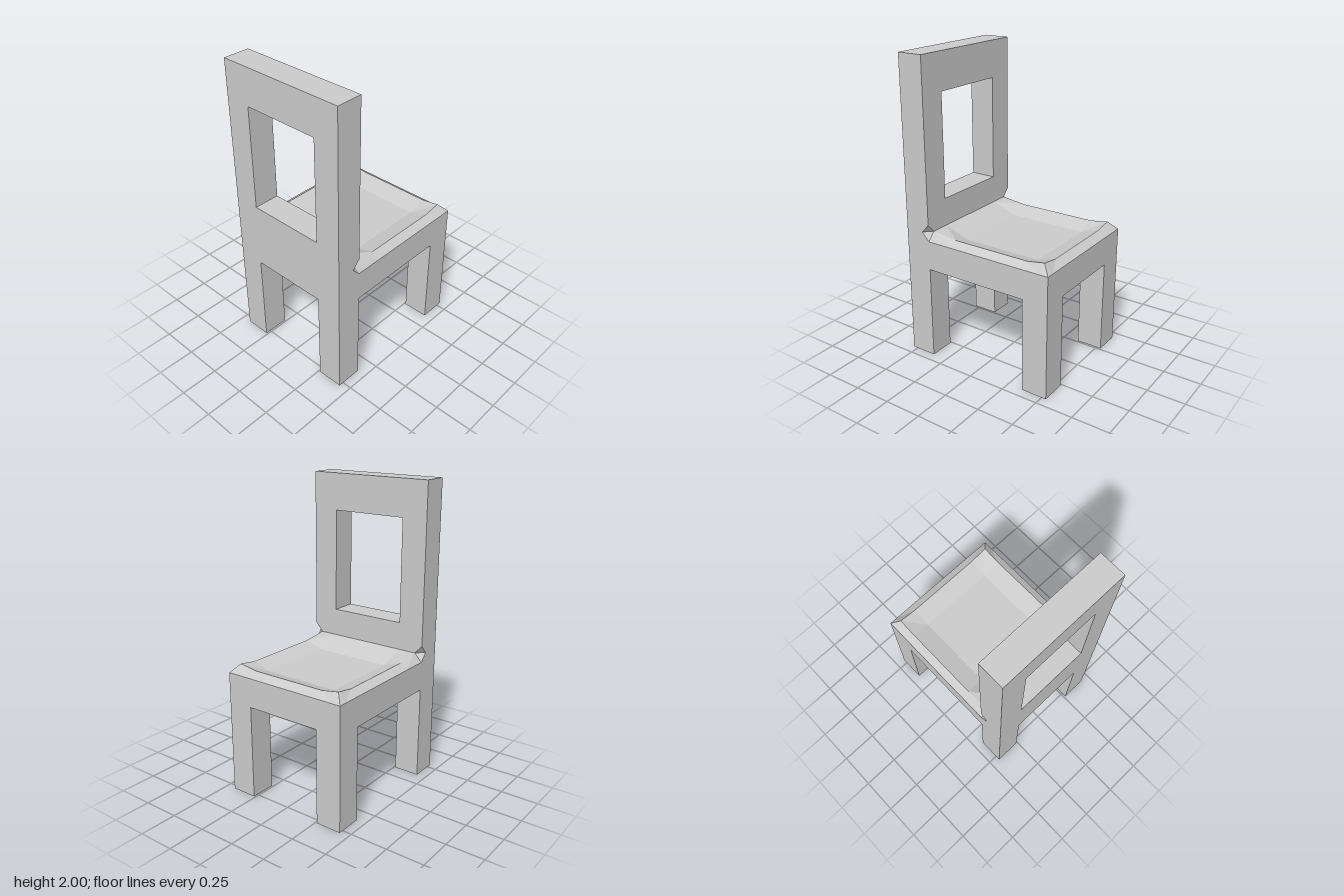
import * as THREE from 'three';

const material = new THREE.MeshStandardMaterial({ color: 0xcccccc, flatShading: true });
const BACK = -0.533, FRONT = 0.53, HALF = 0.436; // footprint
const POST = 0.175, WALL = 0.052;                // leg and apron thickness
const APRON = 0.63, CEILING = 0.75, RIM = 0.825, CREST = 0.88;
const BACK_FACE = BACK + POST;

const toShape = pts => new THREE.Shape(pts.map(p => new THREE.Vector2(...p)));

function add(group, name, geometry) {
  const mesh = new THREE.Mesh(geometry, material);
  mesh.name = name;
  group.add(mesh);
  return mesh;
}

function boxBetween(x0, x1, y0, y1, z0, z1) {
  return new THREE.BoxGeometry(x1 - x0, y1 - y0, z1 - z0)
    .translate((x0 + x1) / 2, (y0 + y1) / 2, (z0 + z1) / 2);
}

// Apron ring: hollow inside, leaving the four corner posts solid
function apronGeometry() {
  const shape = toShape([[BACK, -HALF], [FRONT, -HALF], [FRONT, HALF], [BACK, HALF]]);
  const [xa, xb, xc, xd] = [BACK + WALL, BACK + POST, FRONT - POST, FRONT - WALL];
  const zi = HALF - POST, zo = HALF - WALL;
  shape.holes.push(toShape([
    [xa, -zi], [xb, -zi], [xb, -zo], [xc, -zo], [xc, -zi], [xd, -zi],
    [xd, zi], [xc, zi], [xc, zo], [xb, zo], [xb, zi], [xa, zi],
  ]));
  return new THREE.ExtrudeGeometry(shape, { depth: CEILING - APRON, bevelEnabled: false })
    .rotateX(Math.PI / 2).translate(0, CEILING, 0);
}

// Backrest with a window and a small tapered notch at each side above the seat rim
function backrestGeometry() {
  const low = RIM, high = 2 * CREST - RIM, inner = HALF - WALL;
  const shape = toShape([
    [-HALF, CEILING], [HALF, CEILING], [HALF, low], [inner, CREST], [HALF, high],
    [HALF, 2], [-HALF, 2], [-HALF, high], [-inner, CREST], [-HALF, low],
  ]);
  const w = HALF - POST;
  shape.holes.push(toShape([[-w, 1.065], [-w, 1.755], [w, 1.755], [w, 1.065]]));
  const geometry = new THREE.ExtrudeGeometry(shape, { depth: POST, steps: 2, bevelEnabled: false });
  const p = geometry.attributes.position;
  // Behind the front face, each notch closes to a single point on the side
  for (let i = 0; i < p.count; i++) {
    if (p.getZ(i) > POST - 0.01) continue;
    const y = p.getY(i);
    if (y > low - 0.01 && y < high + 0.01) p.setXY(i, Math.sign(p.getX(i)) * HALF, CREST);
    if (p.getZ(i) > 0.01) p.setZ(i, POST - WALL);
  }
  return geometry.rotateY(Math.PI / 2).translate(BACK, 0, 0);
}

// Dished seat top with a bevelled rim on three sides
function seatTopGeometry() {
  const base = 0.8;
  const xs = [BACK_FACE, -0.18, 0.352, 0.475, FRONT, FRONT];
  const half = [HALF, HALF, HALF - WALL, HALF - POST];
  const zs = [...half.map(z => -z), ...half.slice().reverse()];
  const height = (i, j) => {
    const e = Math.min(j, 7 - j);
    if (i === 5 || e === 0) return base;
    if (i === 4 || e === 1) return RIM;
    if (i === 0) return CREST;
    if (i === 3) return e === 2 ? CREST : 0.86;
    return e === 2 ? 0.86 : 0.82;
  };
  const positions = [], index = [];
  const at = (i, j) => i * 8 + j;
  xs.forEach((x, i) => zs.forEach((z, j) => positions.push(x, height(i, j), z)));
  for (let i = 0; i < 5; i++) {
    for (let j = 0; j < 7; j++) {
      const a = at(i, j), b = at(i, j + 1), c = at(i + 1, j + 1), d = at(i + 1, j);
      // Split along the mitre of the nearer front corner
      if (j > 3) index.push(a, b, c, a, c, d);
      else index.push(a, b, d, b, c, d);
    }
  }
  const geometry = new THREE.BufferGeometry();
  geometry.setAttribute('position', new THREE.Float32BufferAttribute(positions, 3));
  geometry.setIndex(index);
  const flat = geometry.toNonIndexed();
  flat.computeVertexNormals();
  return flat;
}

export function createModel() {
  const chair = new THREE.Group();
  chair.name = 'chair';

  // Legs
  for (const [end, x] of [['back', BACK], ['front', FRONT - POST]]) {
    for (const [side, z] of [['Near', HALF - POST], ['Far', -HALF]]) {
      add(chair, `${end}Leg${side}`, boxBetween(x, x + POST, 0, APRON, z, z + POST));
    }
  }

  add(chair, 'apron', apronGeometry());
  add(chair, 'backrest', backrestGeometry());

  // Seat: solid board below, dished surface above
  add(chair, 'seatBoard', boxBetween(BACK_FACE, FRONT, CEILING, 0.8, -HALF, HALF));
  add(chair, 'seatTop', seatTopGeometry());
  return chair;
}
